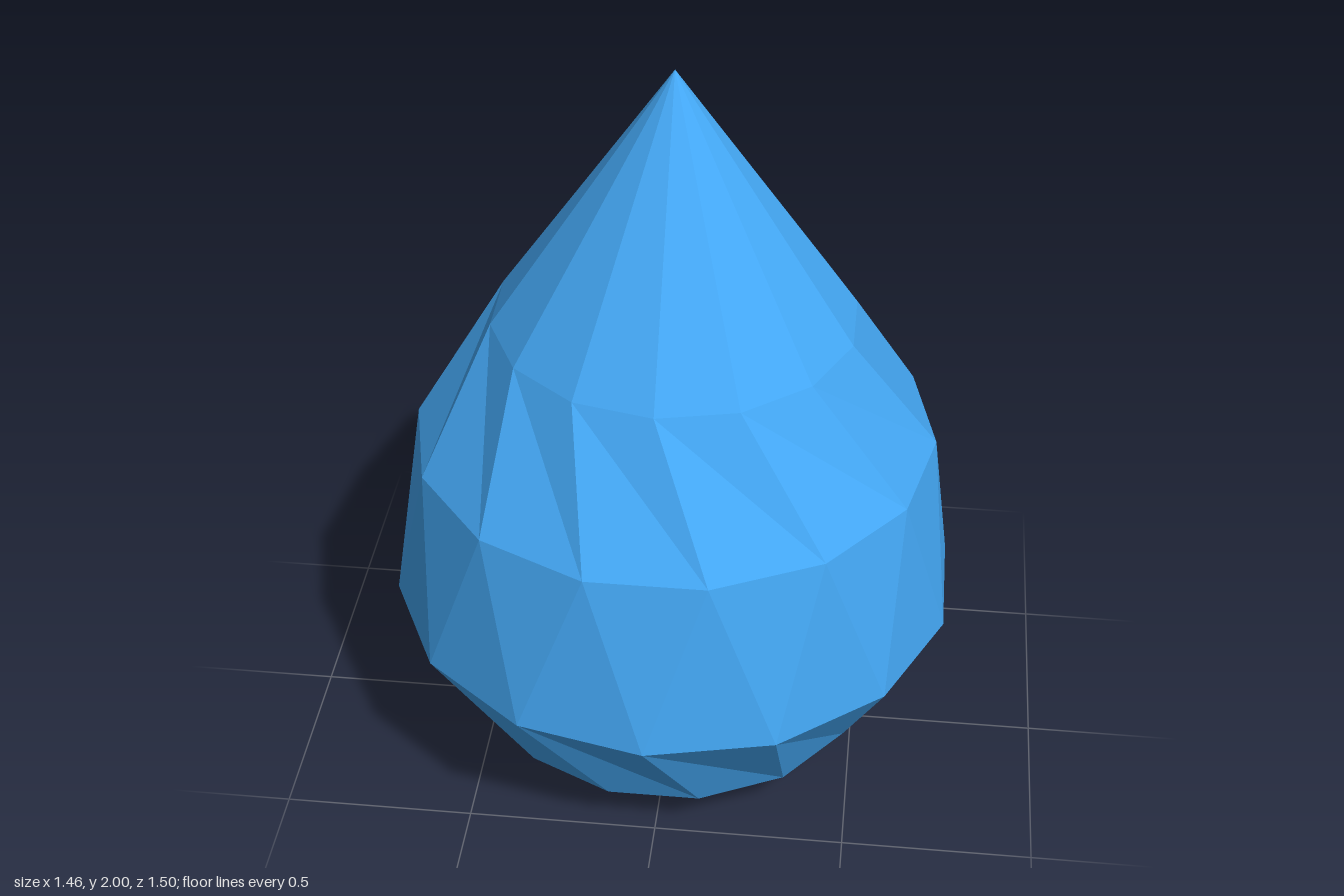
import * as THREE from 'three';

const SIDES = 14;
const STEP = (Math.PI * 2) / SIDES;

// Rings from bottom to top; each is turned half a step further than the one below.
// twist: the band above this ring is split along its long diagonals
const RINGS = [
  { r: 0.537, y: 0.145, twist: true },
  { r: 0.75, y: 0.5, twist: false },
  { r: 0.68, y: 0.97, twist: true },
  { r: 0.467, y: 1.32 },
];

function ringPoint(level, i) {
  const { r, y } = RINGS[level];
  const a = (i + (level - 1) / 2) * STEP;
  return [r * Math.sin(a), y, -r * Math.cos(a)];
}

export function createModel() {
  const group = new THREE.Group();
  group.name = 'drop';
  const positions = [];
  const tri = (...corners) => corners.forEach((p) => positions.push(...p));
  const last = RINGS.length - 1;

  for (let i = 0; i < SIDES; i++) {
    // Shallow cone underneath
    tri([0, 0, 0], ringPoint(0, i), ringPoint(0, i + 1));

    // Faceted bands
    for (let level = 0; level < last; level++) {
      const l0 = ringPoint(level, i), l1 = ringPoint(level, i + 1);
      const u0 = ringPoint(level + 1, i), u1 = ringPoint(level + 1, i + 1);
      if (RINGS[level].twist) {
        tri(l1, l0, u1);
        tri(l0, u0, u1);
      } else {
        tri(l1, l0, u0);
        tri(l1, u0, u1);
      }
    }

    // Pointed tip
    tri(ringPoint(last, i + 1), ringPoint(last, i), [0, 2, 0]);
  }

  const geometry = new THREE.BufferGeometry();
  geometry.setAttribute('position', new THREE.Float32BufferAttribute(positions, 3));
  geometry.computeVertexNormals();

  const material = new THREE.MeshStandardMaterial({ color: 0x44a8f5, flatShading: true });
  const body = new THREE.Mesh(geometry, material);
  body.name = 'dropBody';
  group.add(body);
  return group;
}
